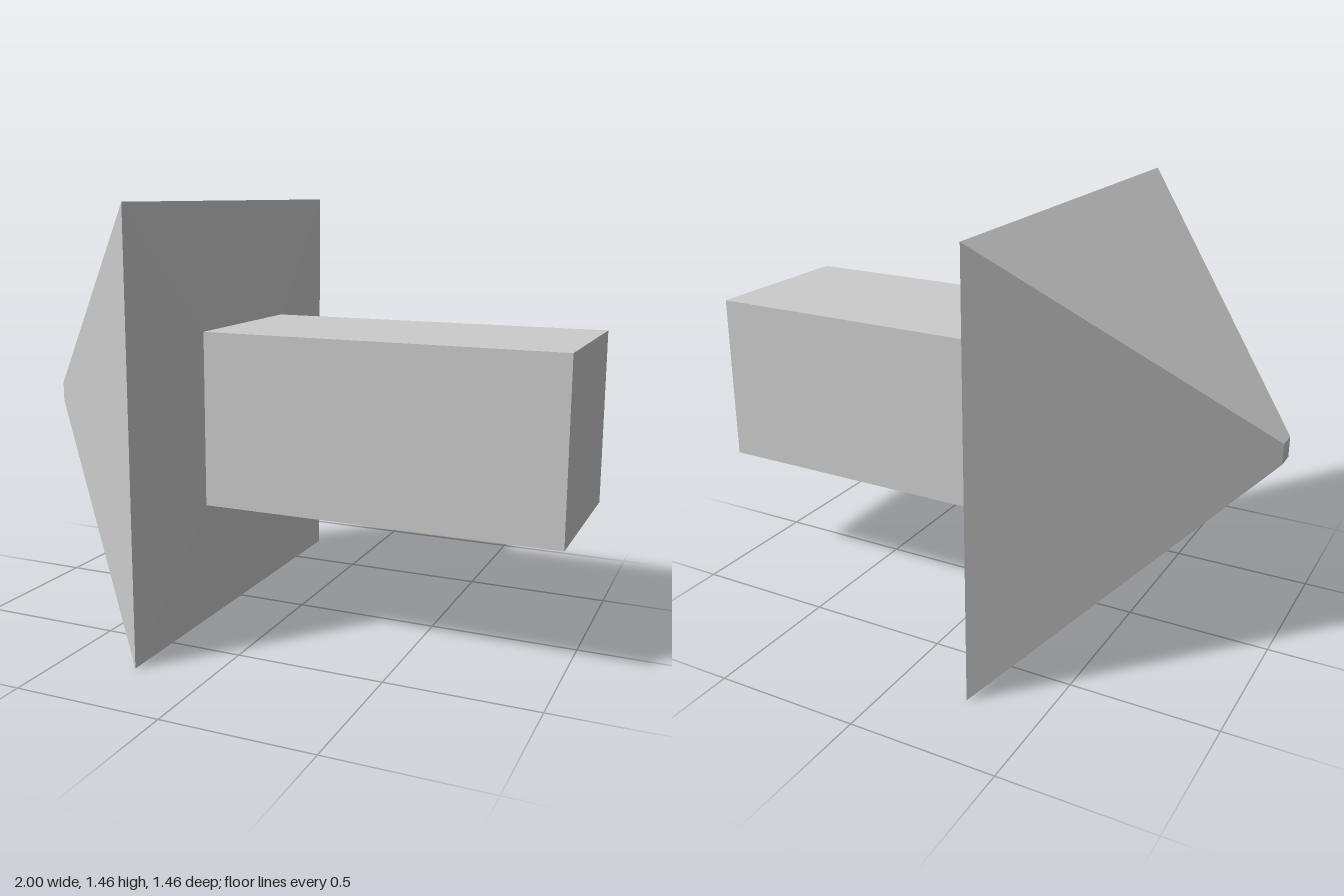
import * as THREE from 'three';

const CENTRE_Y = 0.73;

export function createModel() {
  const group = new THREE.Group();
  const material = new THREE.MeshStandardMaterial({ color: 0xcccccc, flatShading: true });

  // Arrow head: four-sided lathe with a blunt tip and a slightly raised back.
  // Each pair is [half width, position along x].
  const profile = [[0, -1], [0.035, -1], [0.73, -0.25], [0.3, -0.225]]
    .map(([half, x]) => new THREE.Vector2(half * Math.SQRT2, x));
  const headGeometry = new THREE.LatheGeometry(profile, 4, Math.PI / 4);
  headGeometry.rotateZ(-Math.PI / 2);
  const head = new THREE.Mesh(headGeometry, material);
  head.name = 'arrowHead';
  head.position.y = CENTRE_Y;
  group.add(head);

  // Square shaft, closing the back of the head
  const start = -0.225, end = 1;
  const shaft = new THREE.Mesh(new THREE.BoxGeometry(end - start, 0.6, 0.6), material);
  shaft.name = 'shaft';
  shaft.position.set((start + end) / 2, CENTRE_Y, 0);
  group.add(shaft);

  return group;
}
